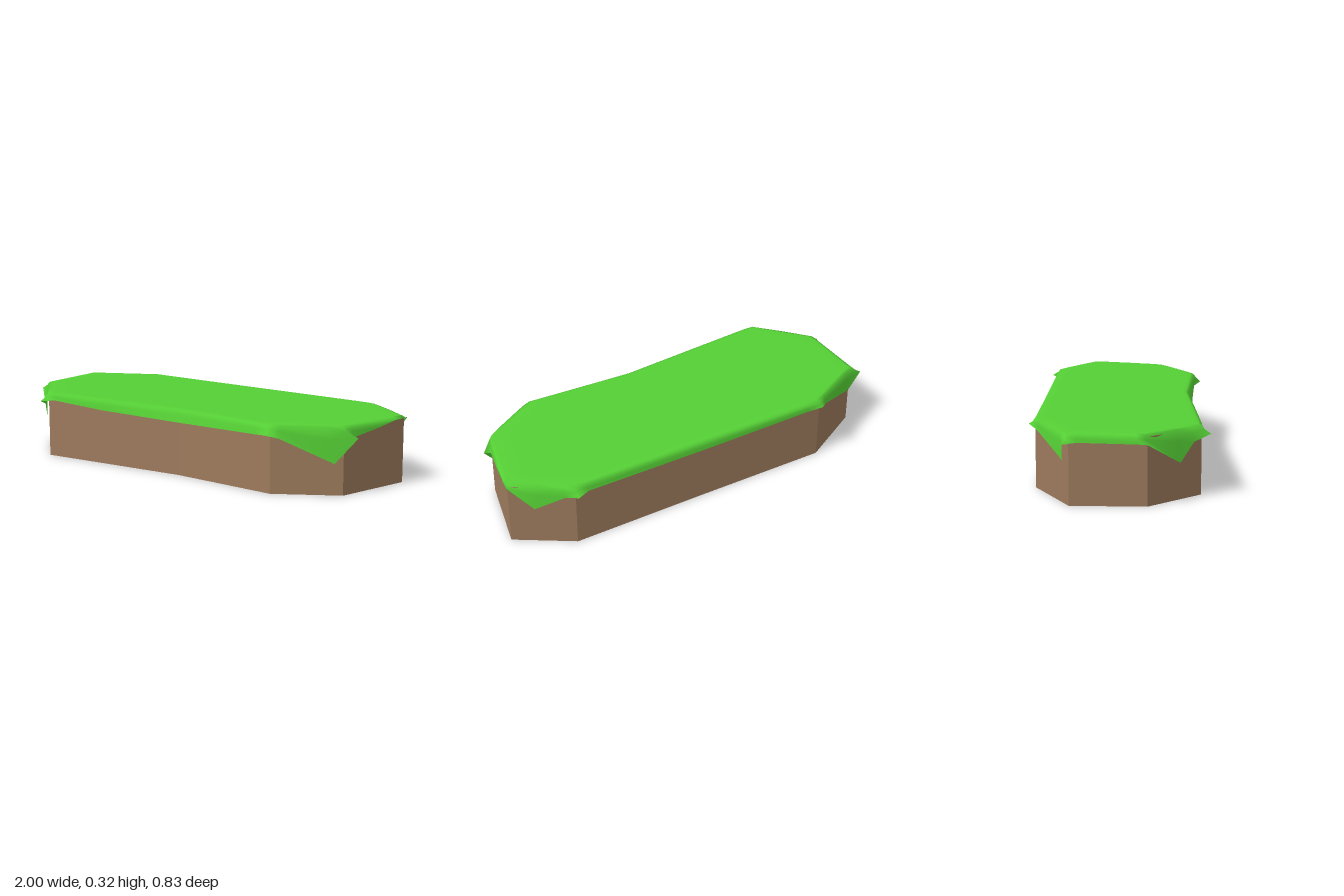
import * as THREE from 'three';

const TOP = 0.312;

// Outline of the block as [x, z], running front, right end, back, left end
const OUTLINE = [
  [-0.74, 0.37], [0.05, 0.325], [0.6, 0.362], [0.89, 0.195], [0.99, -0.185],
  [0.73, -0.36], [0.05, -0.37], [-0.63, -0.385], [-0.95, -0.215], [-0.955, 0.13],
];

// Cloth stations in the same order: [edge x, edge z, hem x, hem y, hem z]
const CLOTH = [
  [-0.74, 0.365, -0.76, 0.285, 0.412],   // front left fold
  [-0.69, 0.367, -0.69, 0.29, 0.378],
  [-0.4, 0.35, -0.4, 0.272, 0.362],
  [0.05, 0.322, 0.05, 0.264, 0.345],
  [0.52, 0.356, 0.52, 0.27, 0.368],
  [0.595, 0.362, 0.59, 0.28, 0.402],     // front right fold
  [0.64, 0.343, 0.645, 0.265, 0.362],
  [0.82, 0.24, 0.86, 0.15, 0.225],       // front right flap
  [0.88, 0.2, 0.945, 0.268, 0.16],
  [0.9, 0.16, 0.915, 0.268, 0.145],
  [0.945, 0.0, 0.955, 0.29, 0.0],
  [0.975, -0.12, 0.985, 0.312, -0.12],
  [0.985, -0.18, 1.0, 0.314, -0.2],      // back right fold
  [0.87, -0.265, 0.895, 0.195, -0.262],  // back right flap
  [0.77, -0.333, 0.775, 0.268, -0.345],
  [0.73, -0.357, 0.735, 0.288, -0.403],
  [0.67, -0.362, 0.67, 0.285, -0.374],
  [0.05, -0.372, 0.05, 0.28, -0.382],
  [-0.56, -0.383, -0.56, 0.285, -0.392],
  [-0.625, -0.385, -0.63, 0.3, -0.415],  // back left fold
  [-0.67, -0.362, -0.68, 0.28, -0.372],
  [-0.89, -0.25, -0.925, 0.2, -0.245],   // back left flap
  [-0.95, -0.225, -1.0, 0.285, -0.24],
  [-0.95, -0.18, -0.96, 0.285, -0.18],
  [-0.955, 0.08, -0.965, 0.28, 0.08],
  [-0.955, 0.12, -1.0, 0.285, 0.13],     // left end fold
  [-0.84, 0.255, -0.84, 0.17, 0.275],    // front left flap
  [-0.785, 0.315, -0.795, 0.255, 0.335],
];

function createBlock() {
  const shape = new THREE.Shape(OUTLINE.map(([x, z]) => new THREE.Vector2(x, -z)));
  const geometry = new THREE.ExtrudeGeometry(shape, { depth: TOP, bevelEnabled: false });
  geometry.rotateX(-Math.PI / 2);
  const block = new THREE.Mesh(geometry, new THREE.MeshStandardMaterial({ color: 0x9c7a5c }));
  block.name = 'block';
  return block;
}

function createCloth() {
  const n = CLOTH.length;
  // Rings from the flat top, over the rounded edge, down to the hem
  const rings = [
    ([x, z]) => [x * 0.9, 0.325, z * 0.9],
    ([x, z]) => [x * 0.985, 0.325, z * 0.97],
    ([x, z]) => [x * 1.003, 0.32, z * 1.01],
    ([x, z, hx, hy, hz]) => [
      x * 1.006 + (hx - x) * 0.3, 0.31 + (hy - 0.31) * 0.3, z * 1.015 + (hz - z) * 0.3,
    ],
    ([, , hx, hy, hz]) => [hx, hy, hz],
  ];
  const positions = [0, 0.325, 0];
  const index = [];
  rings.forEach((ring, r) => {
    CLOTH.forEach((station, i) => {
      positions.push(...ring(station));
      const j = (i + 1) % n;
      const outer = 1 + r * n;
      const inner = outer - n;
      if (r === 0) index.push(0, outer + i, outer + j);
      else index.push(inner + i, outer + i, outer + j, inner + i, outer + j, inner + j);
    });
  });
  const geometry = new THREE.BufferGeometry();
  geometry.setAttribute('position', new THREE.Float32BufferAttribute(positions, 3));
  geometry.setIndex(index);
  geometry.computeVertexNormals();
  const cloth = new THREE.Mesh(
    geometry,
    new THREE.MeshStandardMaterial({ color: 0x55d035, side: THREE.DoubleSide }),
  );
  cloth.name = 'drapedCover';
  return cloth;
}

export function createModel() {
  const model = new THREE.Group();
  model.name = 'coveredBlock';
  model.add(createBlock(), createCloth());
  return model;
}
